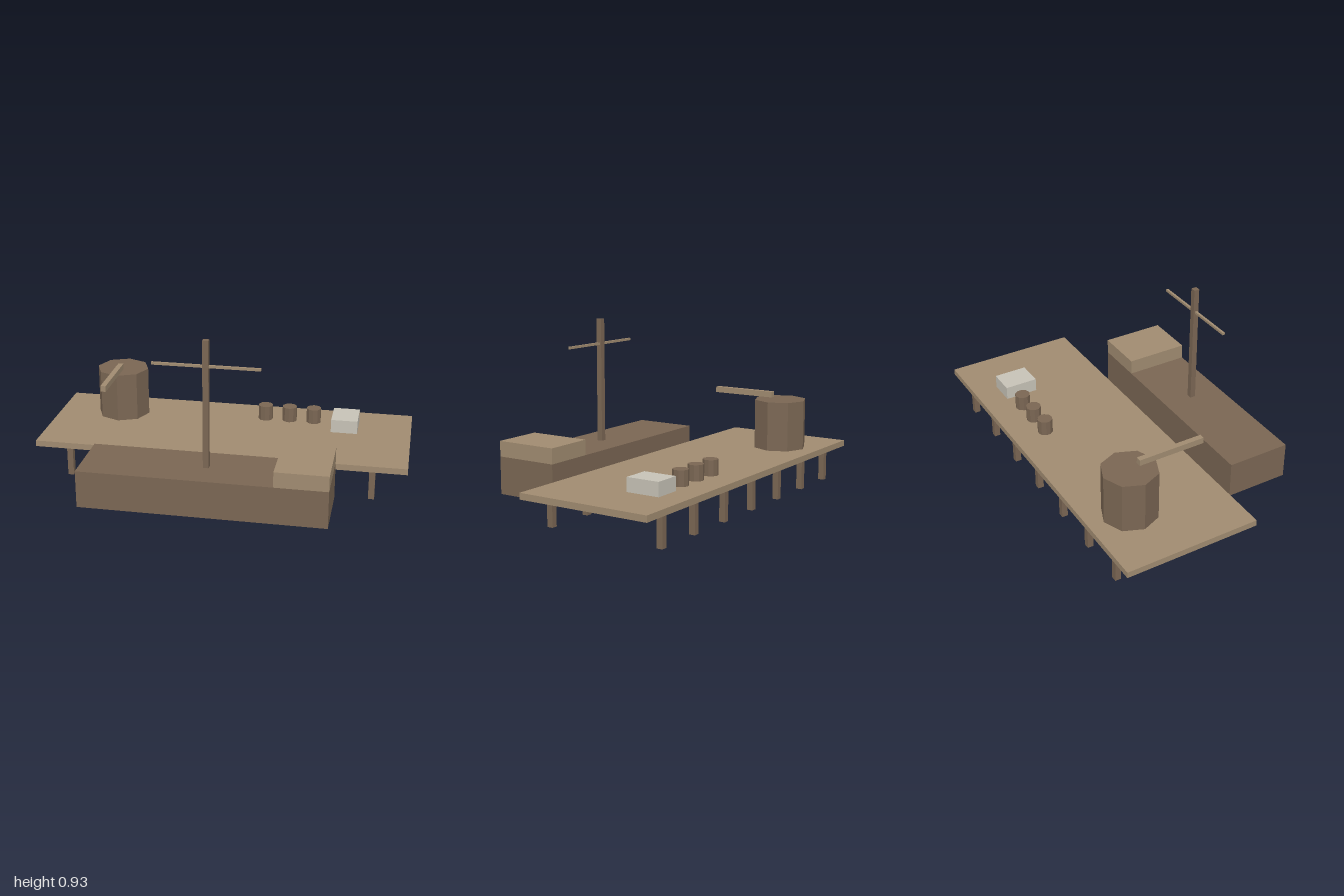
import * as THREE from 'three';

const material = (name, color) => {
  const m = new THREE.MeshStandardMaterial({ color });
  m.name = name;
  m.flatShading = true;
  return m;
};

export function createModel() {
  const model = new THREE.Group();
  model.name = 'harbourDock';
  const darkWood = material('darkWood', 0x7a6653);
  const paleWood = material('paleWood', 0xa08b70);
  const canvas = material('paleCanvas', 0xc6c2b6);

  const add = (name, geometry, mat, x, y, z) => {
    const mesh = new THREE.Mesh(geometry, mat);
    mesh.name = name;
    mesh.position.set(x, y, z);
    model.add(mesh);
  };
  // Box given by its centre in x and z and its bottom and top heights
  const box = (name, mat, x, z, width, depth, bottom, top) =>
    add(name, new THREE.BoxGeometry(width, top - bottom, depth), mat, x, (bottom + top) / 2, z);
  const drum = (name, mat, x, z, radius, sides, bottom, top) =>
    add(name, new THREE.CylinderGeometry(radius, radius, top - bottom, sides), mat, x, (bottom + top) / 2, z);

  // Pier deck on two rows of piles
  box('deck', paleWood, 0, -0.2235, 2, 0.727, 0.167, 0.2);
  for (const z of [0.097, -0.54]) {
    for (let i = -3; i <= 3; i++) box('pile', darkWood, i * 0.2727, z, 0.032, 0.032, 0, 0.167);
  }

  // Crane: octagonal tower through the deck, with a jib above
  drum('craneTower', darkWood, -0.636, -0.36, 0.1455, 8, 0.153, 0.47);
  box('craneJib', paleWood, -0.636, -0.131, 0.029, 0.363, 0.476, 0.508);

  // Cargo on the deck
  for (let i = 0; i < 3; i++) drum('barrel', darkWood, 0.181 + i * 0.1364, -0.406, 0.041, 10, 0.2, 0.282);
  box('crate', canvas, 0.636, -0.36, 0.145, 0.181, 0.2, 0.273);

  // Moored boat with stern cabin, mast and yard
  box('hull', darkWood, 0, 0.414, 1.272, 0.345, 0.056, 0.255);
  box('cabin', paleWood, 0.5, 0.414, 0.272, 0.345, 0.255, 0.337);
  box('mast', darkWood, 0, 0.414, 0.03, 0.03, 0.24, 0.928);
  box('yard', paleWood, 0, 0.414, 0.545, 0.013, 0.787, 0.8);

  return model;
}
